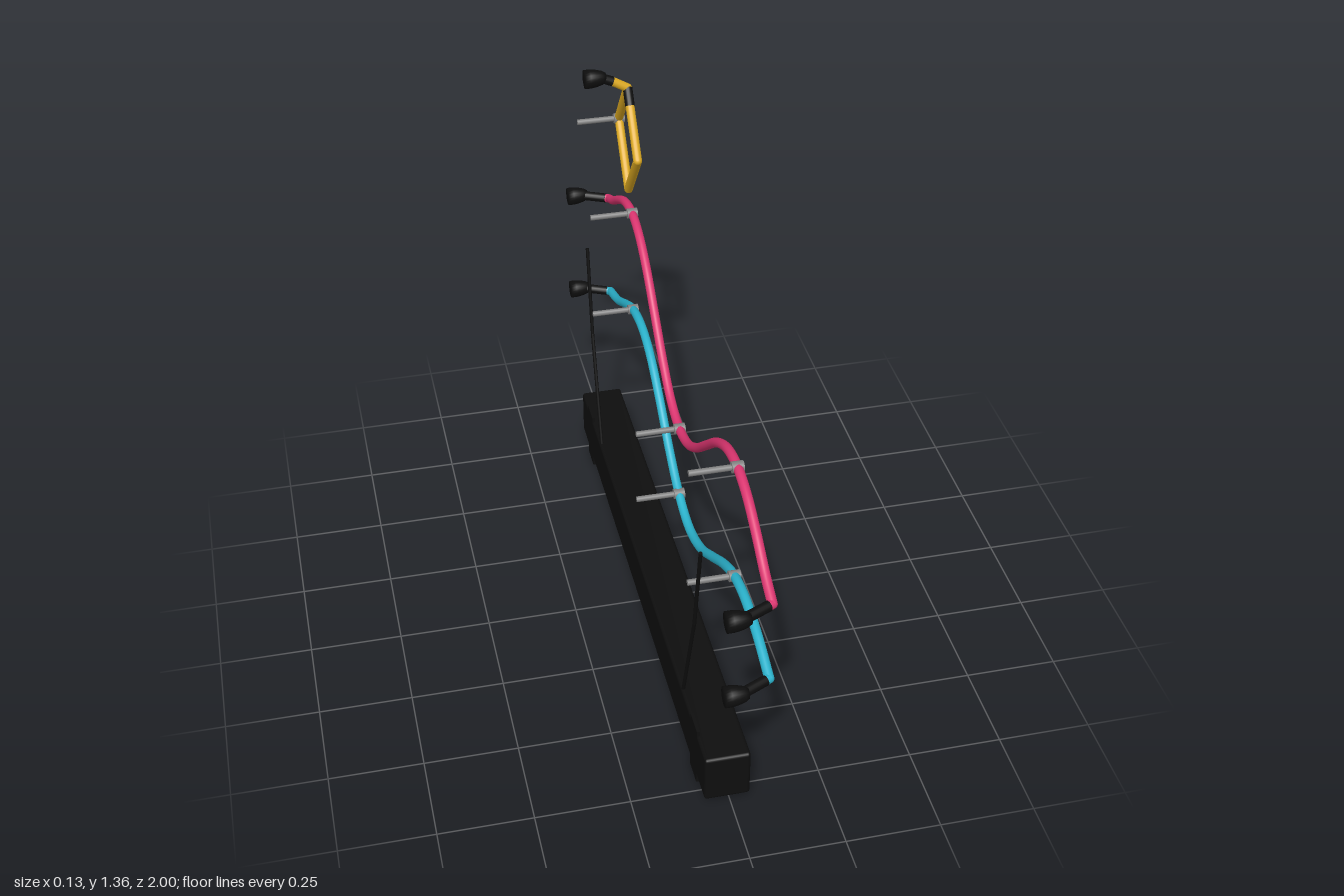
import * as THREE from 'three';
import { RoundedBoxGeometry } from 'three/addons/geometries/RoundedBoxGeometry.js';

const material = (name, color) => {
  const m = new THREE.MeshStandardMaterial({ color });
  m.name = name;
  return m;
};

const TUBE_X = 0.05;   // plane of the glass tubes
const BACK_X = -0.07;  // mounting plane
const R = 0.0125;      // glass tube radius

export function createModel() {
  const group = new THREE.Group();
  const pink = material('pink glass', 0xdc3570);
  const teal = material('teal glass', 0x2bb3cd);
  const yellow = material('yellow glass', 0xdfab22);
  const black = material('black', 0x0e0e0e);
  const grey = material('grey support', 0x808080);

  const V = (x, y, z) => new THREE.Vector3(x, y, z);

  function add(name, geometry, mat, parent = group) {
    const mesh = new THREE.Mesh(geometry, mat);
    mesh.name = name;
    parent.add(mesh);
    return mesh;
  }

  // Straight round bar between two points
  function rod(name, a, b, r0, r1, mat, parent, sides = 16) {
    const mesh = add(name, new THREE.CylinderGeometry(r1, r0, a.distanceTo(b), sides), mat, parent);
    mesh.position.copy(a).lerp(b, 0.5);
    mesh.quaternion.setFromUnitVectors(V(0, 1, 0), b.clone().sub(a).normalize());
    return mesh;
  }

  function ball(name, p, r, mat, parent) {
    add(name, new THREE.SphereGeometry(r, 16, 10), mat, parent).position.copy(p);
  }

  // Black rubber boot, wide at the mounting plane and rounded towards the tube
  function endCap(y, z) {
    const profile = [[0, 0], [0.026, 0], [0.026, 0.016], [0.024, 0.032], [0.019, 0.05], [0.013, 0.06], [0, 0.06]]
      .map(([r, h]) => new THREE.Vector2(r, h));
    const cap = add('endCap', new THREE.LatheGeometry(profile, 24), black);
    cap.rotation.z = -Math.PI / 2;
    cap.position.set(BACK_X, y, z);
  }

  // Stand-off post with a clip around the glass
  function support(y, z) {
    const s = new THREE.Group();
    s.name = 'tubeSupport';
    group.add(s);
    rod('post', V(BACK_X, y, z), V(TUBE_X, y, z), 0.008, 0.008, grey, s);
    rod('clip', V(TUBE_X - 0.015, y, z), V(TUBE_X + 0.015, y, z), 0.0145, 0.0145, grey, s);
  }

  // Wavy glass tube through [z, y] points, with a black electrode at each end
  function wave(name, points, mat) {
    const curve = new THREE.CatmullRomCurve3(points.map(([z, y]) => V(TUBE_X, y, z)), false, 'centripetal');
    add(name, new THREE.TubeGeometry(curve, 120, R, 14), mat);
    for (const [z, y] of [points[0], points[points.length - 1]]) {
      const side = Math.sign(z);
      const corner = V(TUBE_X, y, z);
      const neck = V(0.04, y, z + side * 0.005);
      ball(name + 'Bend', corner, R, mat);
      rod(name + 'Neck', corner, neck, R, R, mat);
      rod('electrodeSleeve', neck, V(-0.025, y, side * 0.97), 0.0135, 0.0135, black);
      endCap(y, side * 0.973);
    }
  }

  wave('pinkWave', [
    [0.935, 0.78], [0.87, 0.81], [0.78, 0.865], [0.69, 0.908], [0.6, 0.924], [0.51, 0.909], [0.41, 0.855],
    [0.3, 0.765], [0.2, 0.682], [0.1, 0.62], [0, 0.598], [-0.1, 0.62], [-0.2, 0.682], [-0.3, 0.765],
    [-0.41, 0.855], [-0.51, 0.909], [-0.6, 0.924], [-0.69, 0.908], [-0.78, 0.865], [-0.87, 0.81], [-0.935, 0.78],
  ], pink);
  wave('tealWave', [
    [0.935, 0.545], [0.82, 0.582], [0.7, 0.597], [0.6, 0.581], [0.5, 0.535], [0.38, 0.46], [0.25, 0.384],
    [0.12, 0.35], [0, 0.373], [-0.12, 0.437], [-0.25, 0.527], [-0.37, 0.594], [-0.48, 0.616], [-0.6, 0.597],
    [-0.7, 0.551], [-0.82, 0.488], [-0.935, 0.447],
  ], teal);

  // Diamond tube: the front upper edge ends in a blacked-out piece
  const top = V(TUBE_X, 1.298, -0.645);
  const back = V(TUBE_X, 1.138, -0.772);
  const bottom = V(TUBE_X, 0.978, -0.645);
  const front = V(TUBE_X, 1.138, -0.518);
  const blackStart = front.clone().lerp(top, 0.75);
  for (const [a, b] of [[top, back], [back, bottom], [bottom, front], [front, blackStart]])
    rod('diamondEdge', a, b, R, R, yellow);
  for (const p of [top, back, bottom, front]) ball('diamondCorner', p, R, yellow);
  rod('diamondMask', blackStart, top, 0.0135, 0.0135, black);
  const lead = V(0.008, 1.322, -0.646);
  rod('diamondLead', top, lead, R, R, yellow);
  rod('electrodeSleeve', lead, V(-0.025, 1.336, -0.647), 0.0135, 0.0135, black);
  endCap(1.335, -0.648);

  // Supports on each tube
  for (const [y, z] of [
    [0.924, 0.6], [0.598, 0], [0.924, -0.6],
    [0.581, 0.6], [0.373, 0], [0.597, -0.6], [1.138, -0.772],
  ]) support(y, z);

  // Transformer box
  add('transformerBox', new RoundedBoxGeometry(0.12, 0.14, 1.62, 2, 0.008), black).position.set(-0.01, 0.095, 0);

  // Mounting tabs and bent wires, mirrored front to back
  for (const side of [1, -1]) {
    add('mountingTab', new THREE.BoxGeometry(0.008, 0.18, 0.07), black).position.set(-0.066, 0.09, side * 0.685);
    const wire = [[0.16, 0.54], [0.49, 0.65], [0.76, 0.702]].map(([y, z]) => V(-0.063, y, side * z));
    rod('lowerWire', wire[0], wire[1], 0.005, 0.005, black, group, 8);
    rod('upperWire', wire[1], wire[2], 0.005, 0.005, black, group, 8);
    ball('wireBend', wire[1], 0.005, black);
  }

  return group;
}
